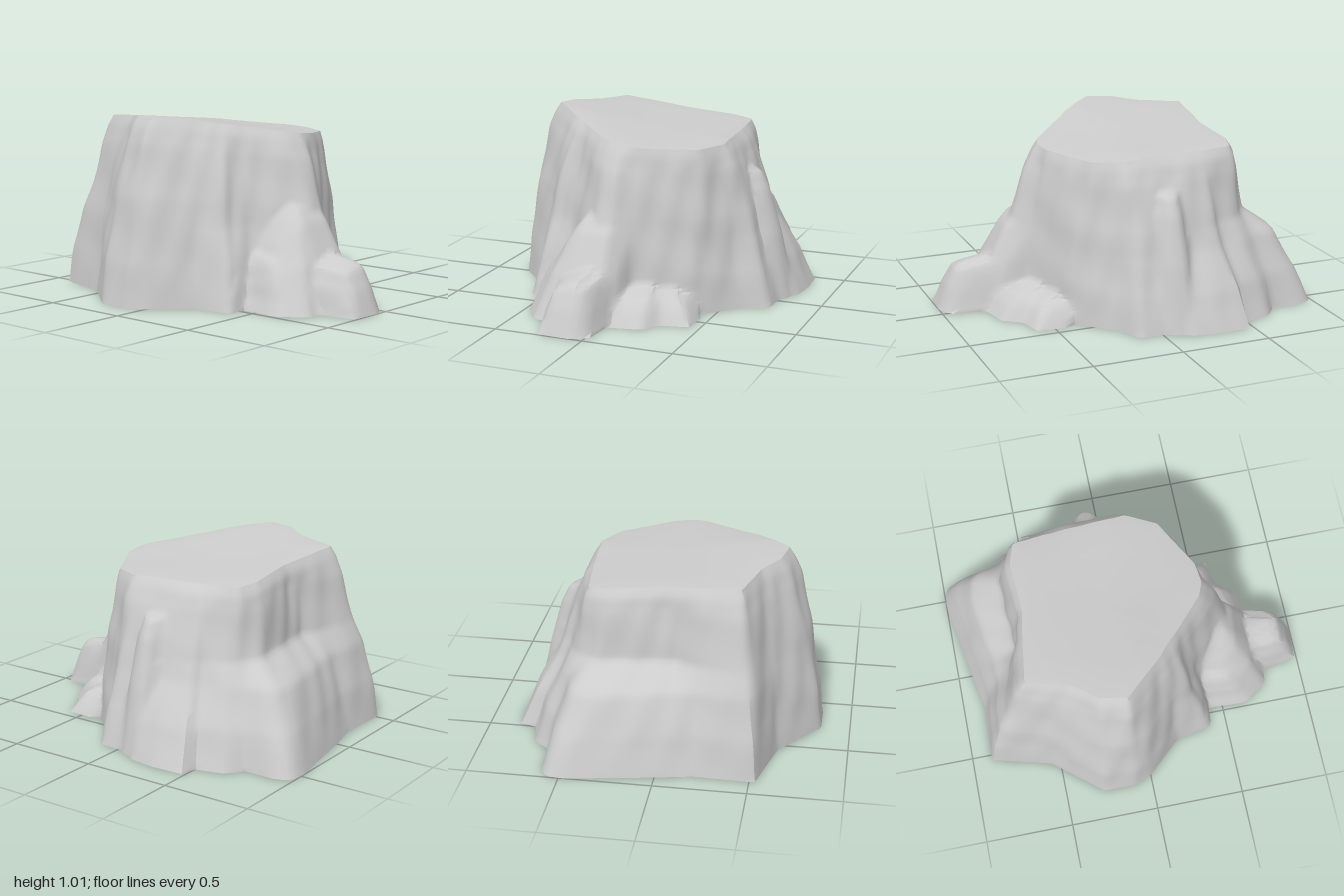
import * as THREE from 'three';
import { toCreasedNormals } from 'three/addons/utils/BufferGeometryUtils.js';

const material = new THREE.MeshStandardMaterial({ color: 0xcccccc, side: THREE.DoubleSide });
const SIDES = 200, LEVELS = 48;
const CENTRE = [-0.08, -0.12];
const { lerp, mapLinear, radToDeg } = THREE.MathUtils;

// outlines of the main body as [x, z]
const foot = [[0, .66], [.1, .54], [.4, .4], [.6, .2], [.74, .13], [.75, -.05], [.82, -.15], [.84, -.3], [.83, -.48],
  [.74, -.5], [.7, -.66], [.61, -.73], [.61, -.92], [.57, -.99], [.47, -1], [0, -.92], [-.2, -.88],
  [-.53, -.89], [-.62, -.55], [-.84, -.28], [-.84, -.1], [-.8, 0], [-.62, .2], [-.58, .4], [-.4, .42], [-.12, .64]];
const rim = [[-.02, .44], [.1, .42], [.38, .27], [.47, .1], [.46, -.25], [.42, -.55], [.3, -.6], [0, -.58],
  [-.42, -.63], [-.5, -.38], [-.6, -.25], [-.63, -.1], [-.42, .13], [-.1, .41]];

// how far the wall leans in at two heights, by compass angle from the front
const lowLean = [[0, .25], [60, .4], [120, .55], [150, .42], [190, .4], [215, .3], [300, .3], [320, .48], [360, .25]];
const highLean = [[0, .38], [90, .55], [125, .75], [145, .85], [180, .83], [215, .45], [300, .38], [320, .58], [360, .38]];

// low rocks that grow out of the wall and narrow towards an anchor point
const spurs = {
  frontRidge: {
    foot: [[-.48, .64], [-.38, .78], [0, .82], [.1, .68], [.05, .3], [-.46, .3]],
    anchor: [-.05, .3], shrink: .48, height: (x) => 0.54 - Math.max(0, -0.22 - x) * 0.6,
  },
  frontLobe: {
    foot: [[-.29, .85], [-.26, .99], [-.07, 1], [.02, .95], [.05, .6], [-.28, .6]],
    anchor: [-.08, .6], shrink: .3, height: (x) => 0.275 - Math.abs(x + 0.09) * 0.2,
  },
  rightFrontRock: {
    foot: [[.05, .76], [.22, .73], [.29, .63], [.44, .6], [.45, .42], [.02, .4]],
    anchor: [.2, .35], shrink: .35, height: (x) => 0.185 - 0.13 * x,
  },
  leftFrontRock: {
    foot: [[-.57, .41], [-.45, .42], [-.47, .66], [-.33, .7], [-.2, .4], [-.6, .25]],
    anchor: [-.25, .3], shrink: .4, height: (x) => 0.42 + 0.3 * x,
  },
  sideButtress: {
    foot: [[.73, 0], [.78, -.06], [.8, -.15], [.72, -.22], [.5, -.22], [.5, .03]],
    anchor: [.4, -.1], shrink: .45, height: () => 0.72,
  },
};

const topHeight = (x, z) => 0.945 - 0.09 * x - 0.07 * Math.max(0, z) - 0.012 * Math.sin(4 * x + 1) * Math.cos(3 * z);

// repeatable roughness for rock faces
const rough = (a, y) =>
  Math.sin(a * 9 + y * 3) * 0.5 + Math.sin(a * 23 - y * 8) * 0.4 + Math.sin(a * 5 + y * 17) * 0.3;

// piecewise linear lookup in [[x, y], ...]
function lookup(table, v) {
  let k = 1;
  while (k < table.length - 1 && v > table[k][0]) k++;
  const [a, b] = [table[k - 1], table[k]];
  return mapLinear(v, a[0], b[0], a[1], b[1]);
}

// farthest distance at which a ray from the centre meets an outline, or 0
function reach(points, dx, dz) {
  let far = 0;
  points.forEach(([x, z], i) => {
    const [x2, z2] = points[(i + 1) % points.length];
    const ex = x2 - x, ez = z2 - z, px = x - CENTRE[0], pz = z - CENTRE[1];
    const det = dx * ez - dz * ex;
    if (Math.abs(det) < 1e-9) return;
    const along = (px * dz - pz * dx) / det;
    if (along >= 0 && along <= 1) far = Math.max(far, (px * ez - pz * ex) / det);
  });
  return far;
}

// lean of the body wall at a fraction v of its height
function bodyLean(angle, v) {
  const low = lookup(lowLean, angle), high = lookup(highLean, angle);
  return lookup([[0, 0], [0.22, low * 0.4], [0.45, low], [0.58, high],
    [0.85, lerp(high, 1, 0.55)], [0.95, lerp(high, 1, 0.85)], [1, 1.06]], v);
}

// outline of a spur at a fraction v of its height
function spurSection({ foot, anchor, shrink }, v) {
  const lean = shrink * lookup([[0, 0], [0.5, 0.4], [0.85, 0.8], [1, 1.1]], v);
  return foot.map(([x, z]) => [lerp(x, anchor[0], lean), lerp(z, anchor[1], lean)]);
}

// mesh from rings of points, ordered from the bottom up
function skin(name, rings) {
  const index = [];
  for (let j = 0; j < rings.length - 1; j++) {
    for (let i = 0; i < SIDES; i++) {
      const a = j * SIDES + i, b = j * SIDES + (i + 1) % SIDES, c = a + SIDES, d = b + SIDES;
      index.push(a, b, d, a, d, c);
    }
  }
  const geometry = new THREE.BufferGeometry();
  geometry.setAttribute('position', new THREE.Float32BufferAttribute(rings.flat(2), 3));
  geometry.setIndex(index);
  const mesh = new THREE.Mesh(toCreasedNormals(geometry, 0.7), material);
  mesh.name = name;
  return mesh;
}

export function createModel() {
  const group = new THREE.Group();
  group.name = 'rockPlateau';

  const rays = Array.from({ length: SIDES }, (_, i) => {
    const a = i / SIDES * Math.PI * 2, dx = Math.sin(a), dz = Math.cos(a);
    const outer = reach(foot, dx, dz), inner = reach(rim, dx, dz);
    return { a, dx, dz, outer, inner, top: topHeight(CENTRE[0] + dx * inner, CENTRE[1] + dz * inner) };
  });

  // wall radius: the outermost of the body and the spurs along each ray
  const radii = Array.from({ length: LEVELS + 1 }, (_, j) => {
    const v = j / LEVELS;
    return rays.map(({ a, dx, dz, outer, inner, top }) => {
      let r = lerp(outer, inner, bodyLean(radToDeg(a), v));
      r += rough(a, v) * 0.01 * Math.min(1, v * 4, (1 - v) * 8);
      for (const spur of Object.values(spurs)) {
        const base = reach(spur.foot, dx, dz);
        const part = v * top / spur.height(CENTRE[0] + dx * base);
        if (base && part < 1) r = Math.max(r, reach(spurSection(spur, part), dx, dz));
      }
      return r;
    });
  });

  // slight weathering softens the steps, except at the foot and the rim
  const worn = radii.map((ring, j) => ring.map((r, i) => {
    if (j === 0 || j === LEVELS) return r;
    const sides = ring[(i + 1) % SIDES] + ring[(i + SIDES - 1) % SIDES];
    return r * 0.5 + (sides + radii[j - 1][i] + radii[j + 1][i]) * 0.125;
  }));
  group.add(skin('cliffWall', worn.map((ring, j) => ring.map((r, i) => {
    const { dx, dz, top } = rays[i];
    return [CENTRE[0] + dx * r, top * j / LEVELS, CENTRE[1] + dz * r];
  }))));

  // flat top, slightly tilted
  group.add(skin('plateauTop', [1, 0.9, 0.65, 0.35, 0].map((s) => rays.map(({ dx, dz, top }, i) => {
    const r = worn[LEVELS][i] * s, x = CENTRE[0] + dx * r, z = CENTRE[1] + dz * r;
    return [x, s === 1 ? top : topHeight(x, z) + 0.004, z];
  }))));
  return group;
}
